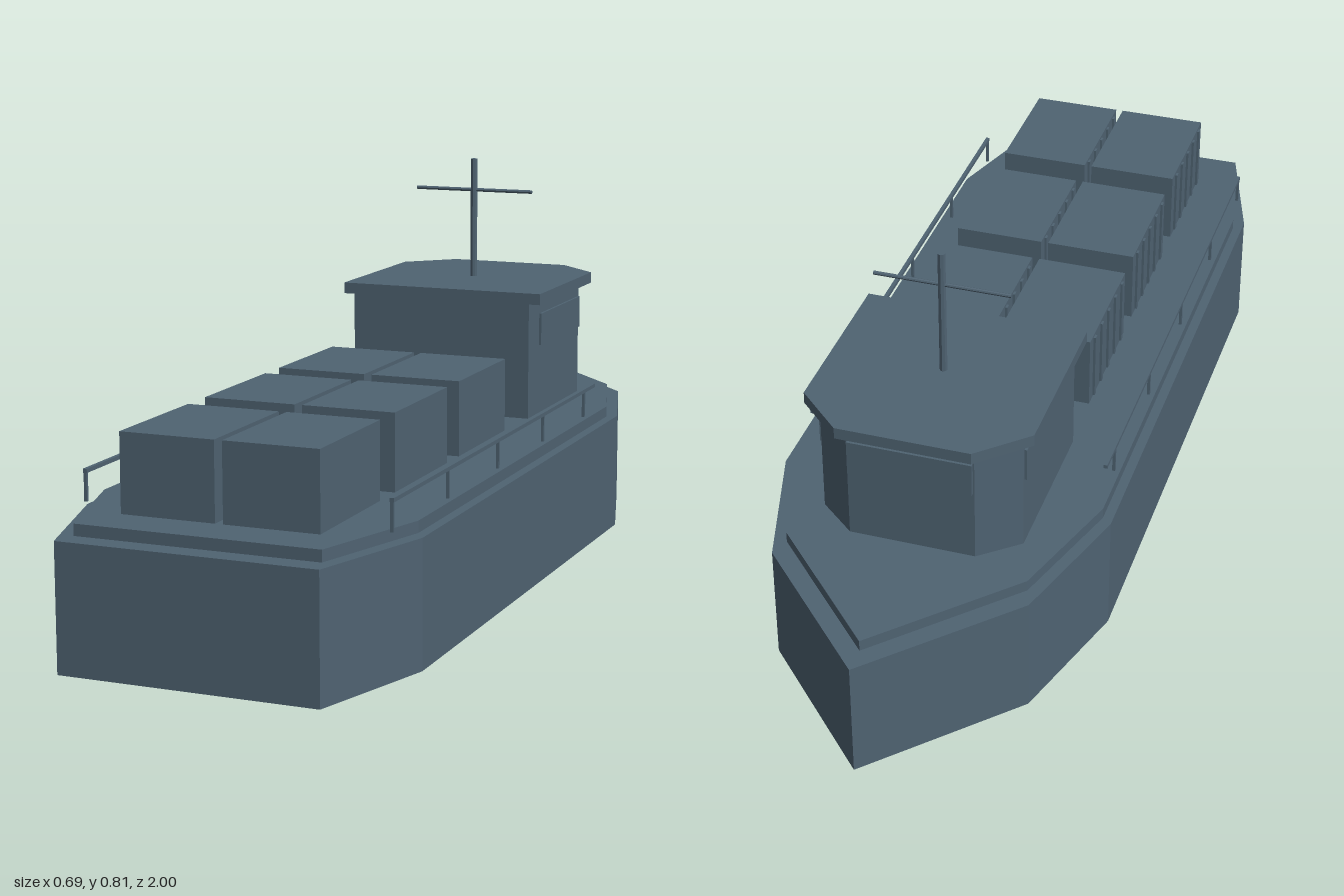
import * as THREE from 'three';

export function createModel() {
  const ship = new THREE.Group();
  ship.name = 'cargoShip';
  const slate = new THREE.MeshStandardMaterial({ color: 0x4f6372, flatShading: true });
  slate.name = 'slateBlue';

  const add = (name, geometry, x = 0, y = 0, z = 0, parent = ship) => {
    const mesh = new THREE.Mesh(geometry, slate);
    mesh.name = name;
    mesh.position.set(x, y, z);
    parent.add(mesh);
    return mesh;
  };
  const box = (name, w, h, d, x, y, z, parent) =>
    add(name, new THREE.BoxGeometry(w, h, d), x, y, z, parent);

  // Upright slab from half an outline of [x, z] points, mirrored across x = 0
  const slab = (name, half, y0, y1) => {
    const other = half.filter(([x]) => x > 0).map(([x, z]) => [-x, z]).reverse();
    const shape = new THREE.Shape([...half, ...other].map(([x, z]) => new THREE.Vector2(x, -z)));
    const geometry = new THREE.ExtrudeGeometry(shape, { depth: y1 - y0, bevelEnabled: false });
    return add(name, geometry.rotateX(-Math.PI / 2), 0, y0, 0);
  };

  // Hull and raised deck
  slab('hull', [[0, -1], [0.26, -0.73], [0.343, -0.45], [0.343, 0.73], [0.26, 1]], 0, 0.25);
  slab('deck', [[0, -0.945], [0.245, -0.69], [0.323, -0.435], [0.323, 0.7], [0.245, 0.955]], 0.25, 0.273);

  // Bridge with chamfered forward corners and an overhanging roof
  slab('bridge', [[0.128, -0.65], [0.205, -0.585], [0.205, -0.24]], 0.273, 0.525);
  slab('bridgeRoof', [[0.135, -0.69], [0.23, -0.6], [0.23, -0.24]], 0.525, 0.549);
  box('frontWindow', 0.25, 0.07, 0.009, 0, 0.46, -0.6535);
  for (const side of [-1, 1]) box('sideWindow', 0.008, 0.07, 0.27, side * 0.206, 0.46, -0.445);

  // Mast with its crossbar
  add('mast', new THREE.CylinderGeometry(0.008, 0.008, 0.27, 8), 0, 0.68, -0.447);
  add('mastCrossbar', new THREE.CylinderGeometry(0.004, 0.004, 0.275, 8), 0, 0.745, -0.447)
    .rotation.z = Math.PI / 2;

  // Six containers, ribbed along one long side
  for (const z of [0.033, 0.375, 0.722]) {
    for (const x of [-0.104, 0.104]) {
      const container = new THREE.Group();
      container.name = 'container';
      container.position.set(x, 0.3505, z);
      ship.add(container);
      box('containerBody', 0.192, 0.155, 0.275, 0, 0, 0, container);
      for (let i = -2; i <= 2; i++) {
        box('containerRib', 0.006, 0.145, 0.012, -0.098, 0, i * 0.053, container);
      }
    }
  }

  // Railings along both sides
  for (const side of [-1, 1]) {
    const railing = new THREE.Group();
    railing.name = 'railing';
    railing.position.x = side * 0.31;
    ship.add(railing);
    box('handrail', 0.008, 0.008, 1.172, 0, 0.331, 0.209, railing);
    for (let i = 0; i < 5; i++) {
      box('railPost', 0.006, 0.06, 0.006, 0, 0.302, 0.792 - i * 0.275, railing);
    }
  }
  return ship;
}
